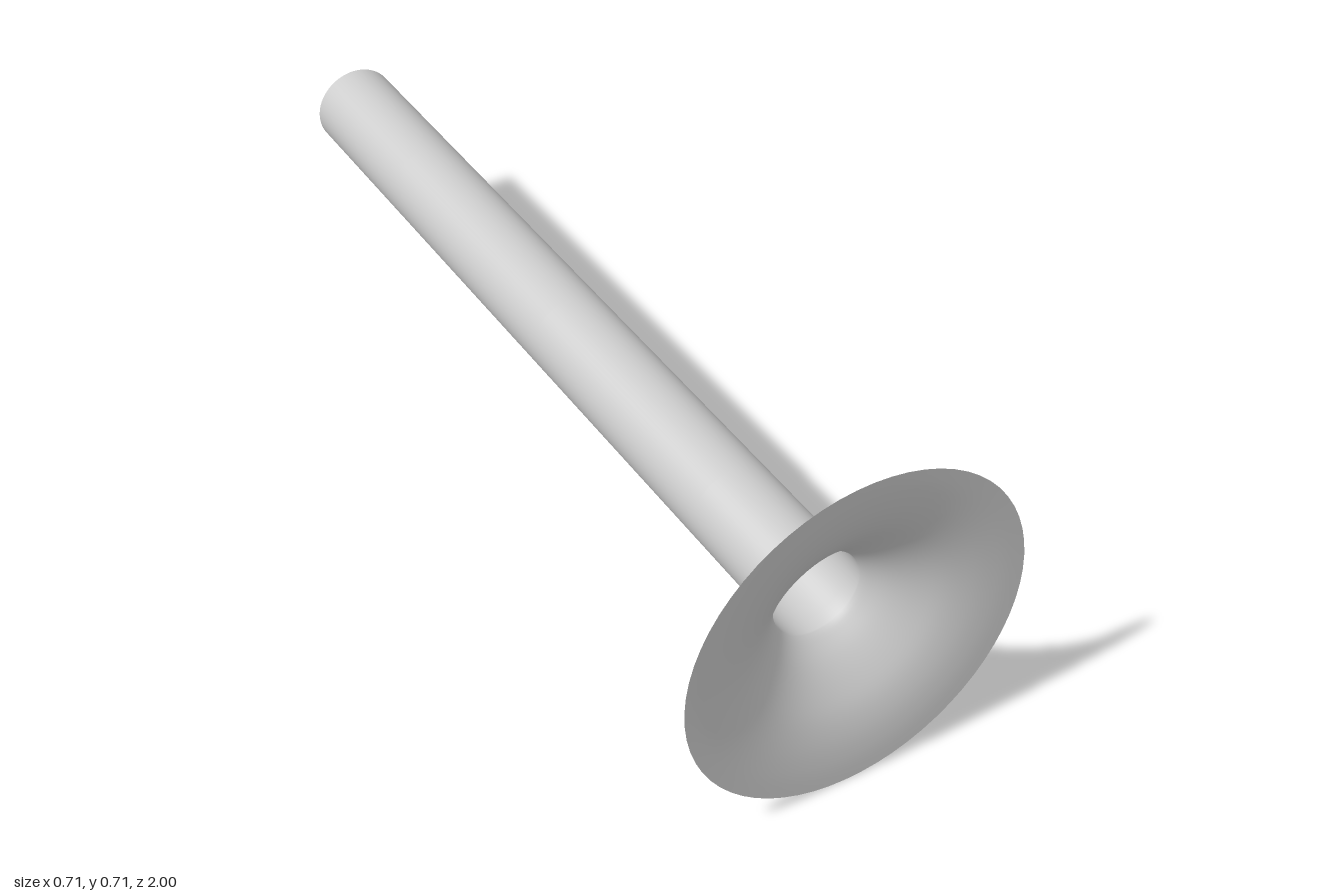
import * as THREE from 'three';

const RADIUS = 0.092; // tube
const RIM = 0.357;    // outer edge of the flare

export function createModel() {
  const group = new THREE.Group();
  const material = new THREE.MeshStandardMaterial({ color: 0xcccccc, side: THREE.DoubleSide });

  // Flare curve from the tube out to the flat rim (radius, position along the axis)
  const flare = new THREE.SplineCurve([
    [RADIUS, 0.868], [0.102, 0.882], [0.13, 0.911], [0.168, 0.941],
    [0.212, 0.968], [0.26, 0.986], [0.31, 0.996], [RIM, 1],
  ].map(([r, z]) => new THREE.Vector2(r, z)));

  // Open, thin-walled tube and flare in one smooth profile
  const tube = [-1, -0.63, 0, 0.6, 0.84].map((z) => new THREE.Vector2(RADIUS, z));
  const geometry = new THREE.LatheGeometry([...tube, ...flare.getPoints(24)], 64);
  geometry.rotateX(Math.PI / 2); // axis along z, flare to the front

  const horn = new THREE.Mesh(geometry, material);
  horn.name = 'flaredTube';
  horn.position.y = RIM;
  group.add(horn);
  return group;
}
